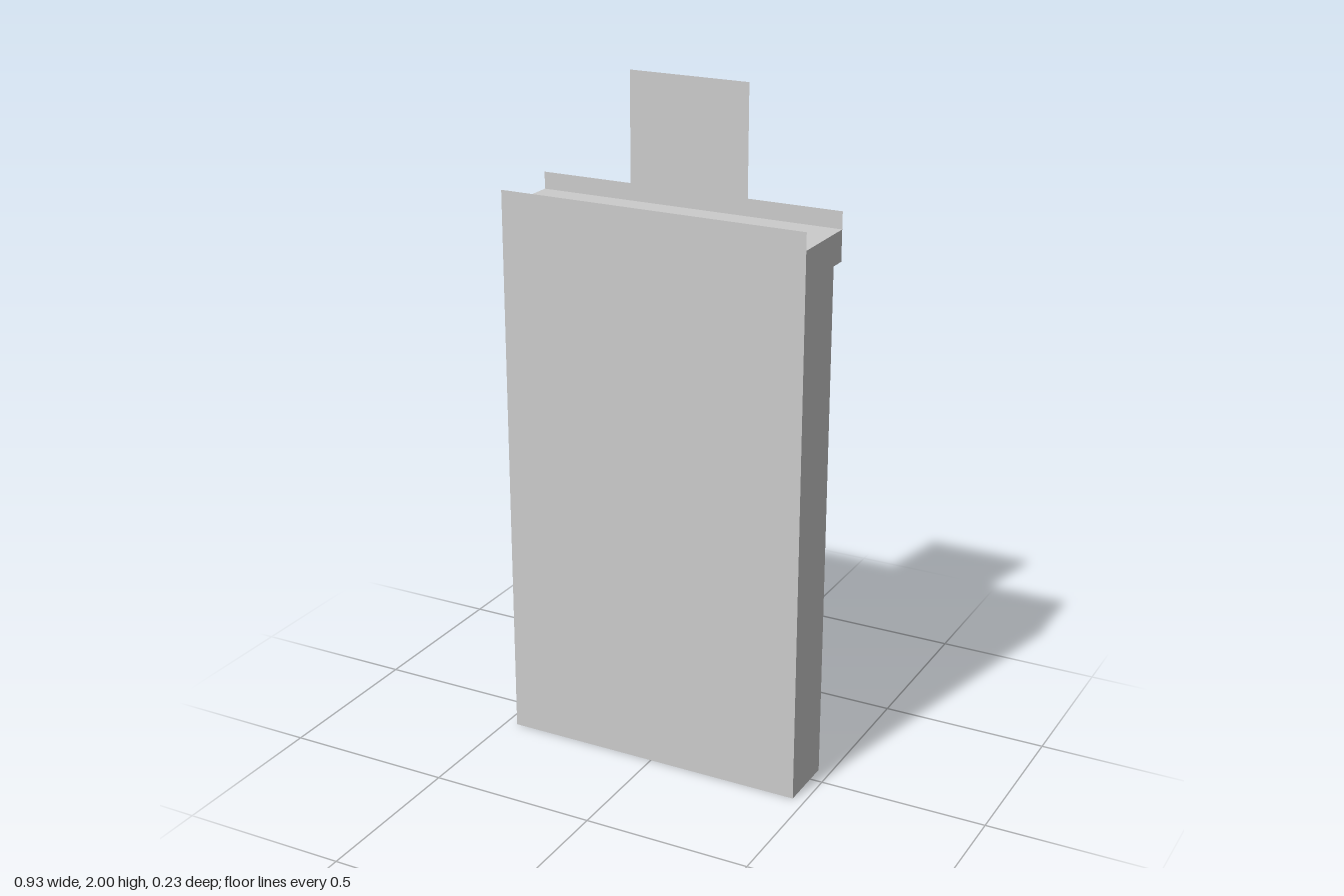
import * as THREE from 'three';

const material = new THREE.MeshStandardMaterial({ color: 0xcccccc, side: THREE.DoubleSide, flatShading: true });

// Main dimensions
const X0 = -0.465, X1 = 0.463;                 // outer sides
const FRONT = 0.122, BACK = -0.06, LEDGE = -0.111, RECESS = -0.01;
const ROOF = 1.63, RIM = 1.68, LEDGE_Y = 1.54; // rim stands above the roof
const OPEN_X0 = -0.376, OPEN_X1 = 0.374, OPEN_TOP = 1.495, PANEL_Y = 0.375;

export function createModel() {
  const group = new THREE.Group();

  const add = (name, geometry) => {
    const mesh = new THREE.Mesh(geometry, material);
    mesh.name = name;
    group.add(mesh);
  };

  // Thin upright sheet at depth z, facing front (+1) or back (-1)
  const upright = (name, x0, x1, y0, y1, z, facing) => {
    const g = new THREE.PlaneGeometry(x1 - x0, y1 - y0);
    if (facing < 0) g.rotateY(Math.PI);
    add(name, g.translate((x0 + x1) / 2, (y0 + y1) / 2, z));
  };

  // Thin level sheet at height y, facing up (+1) or down (-1)
  const level = (name, x0, x1, z0, z1, y, facing) => {
    const g = new THREE.PlaneGeometry(x1 - x0, z1 - z0).rotateX(-facing * Math.PI / 2);
    add(name, g.translate((x0 + x1) / 2, y, (z0 + z1) / 2));
  };

  // Sheet in the z-y plane, given by its [z, y] outline
  const side = (name, x, outline) => {
    const shape = new THREE.Shape(outline.map(([z, y]) => new THREE.Vector2(z, y)));
    add(name, new THREE.ShapeGeometry(shape).rotateY(-Math.PI / 2).translate(x, 0, 0));
  };

  // Outer shell
  upright('frontPanel', X0, X1, 0, RIM, FRONT, 1);
  level('roof', X0, X1, LEDGE, FRONT, ROOF, 1);
  for (const [name, x] of [['rightSide', X0], ['leftSide', X1]]) {
    side(name, x, [[FRONT, 0], [FRONT, ROOF], [LEDGE, ROOF], [LEDGE, LEDGE_Y], [BACK, LEDGE_Y], [BACK, 0]]);
  }

  // Overhanging ledge at the back, with the upright sign above it
  upright('ledgeFace', X0, X1, LEDGE_Y, RIM, LEDGE, -1);
  level('ledgeUnderside', X0, X1, LEDGE, BACK, LEDGE_Y, -1);
  upright('sign', -0.184, 0.181, ROOF, 2, LEDGE - 0.0005, -1);

  // Back frame: two posts and a lintel around an opening that reaches the floor
  const frame = new THREE.Shape([
    [X0, 0], [OPEN_X0, 0], [OPEN_X0, OPEN_TOP], [OPEN_X1, OPEN_TOP],
    [OPEN_X1, 0], [X1, 0], [X1, LEDGE_Y], [X0, LEDGE_Y],
  ].map(([x, y]) => new THREE.Vector2(x, y)));
  add('backFrame', new THREE.ShapeGeometry(frame).translate(0, 0, BACK));

  // Recessed panel, ending above the floor so the hollow shell shows below
  upright('recessPanel', OPEN_X0, OPEN_X1, PANEL_Y, OPEN_TOP, RECESS, -1);
  level('recessSoffit', OPEN_X0, OPEN_X1, BACK, RECESS, OPEN_TOP, -1);
  for (const [name, x] of [['rightRecessWall', OPEN_X0], ['leftRecessWall', OPEN_X1]]) {
    side(name, x, [[BACK, PANEL_Y], [RECESS, PANEL_Y], [RECESS, OPEN_TOP], [BACK, OPEN_TOP]]);
  }

  return group;
}
